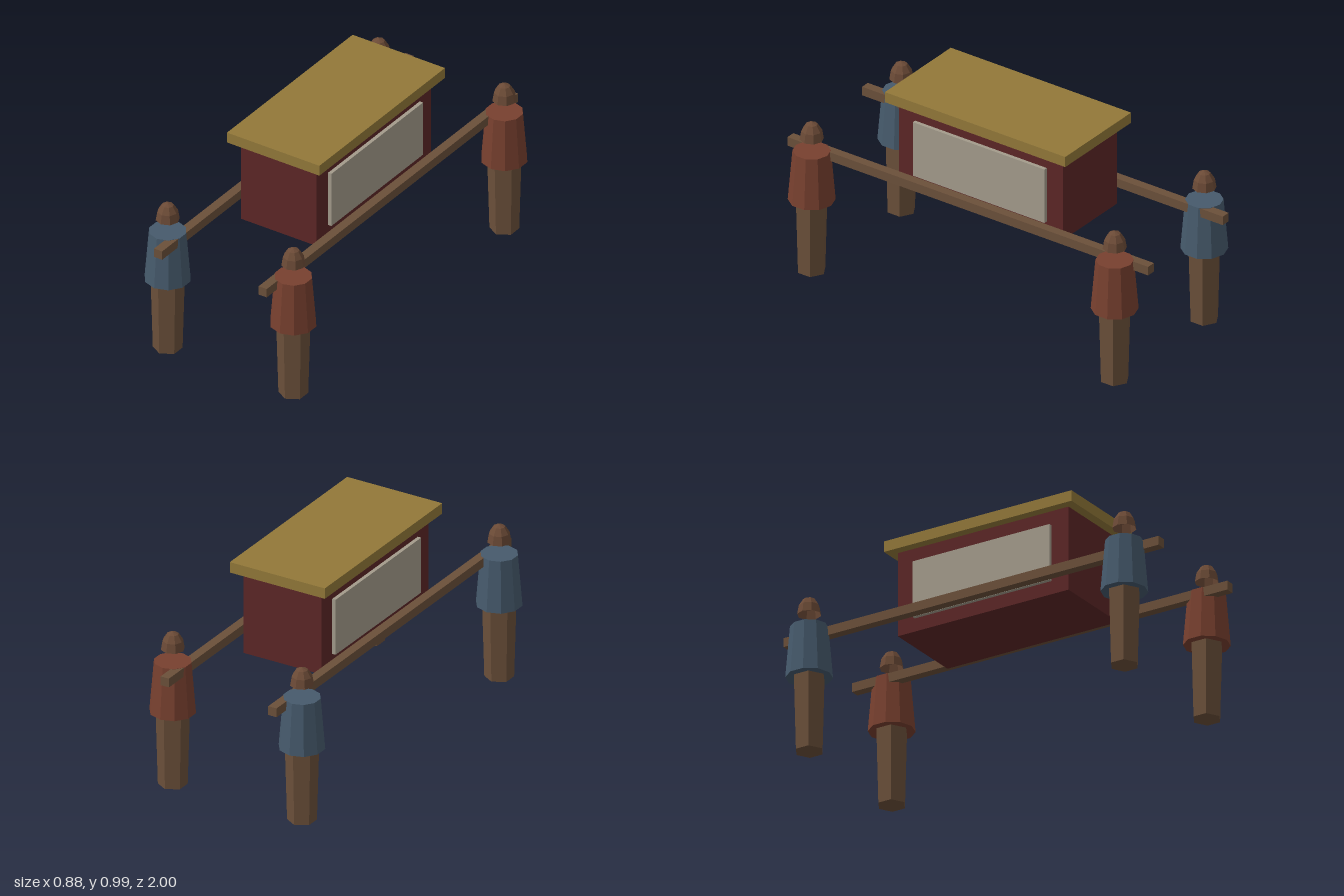
import * as THREE from 'three';

const paint = (color, extra = {}) => {
  const m = new THREE.MeshStandardMaterial({ color, flatShading: true });
  return Object.assign(m, extra);
};

function add(parent, name, geometry, material, x, y, z) {
  const mesh = new THREE.Mesh(geometry, material);
  mesh.name = name;
  mesh.position.set(x, y, z);
  parent.add(mesh);
  return mesh;
}

export function createModel() {
  const model = new THREE.Group();
  model.name = 'litterWithBearers';

  const wood = paint(0x6b503a);
  const skin = paint(0x6b4a36, { side: THREE.DoubleSide });
  const lacquer = paint(0x5c2626);
  const gold = paint(0x927839);
  const screen = paint(0xa39b8b);
  const redCoat = paint(0x78402f);
  const blueCoat = paint(0x465a6c);

  // Cabin with an overhanging flat roof
  add(model, 'cabin', new THREE.BoxGeometry(0.41, 0.41, 0.91), lacquer, 0, 0.73, 0);
  add(model, 'roof', new THREE.BoxGeometry(0.5, 0.052, 1), gold, 0, 0.961, 0);

  // Bearer parts, shared by all four figures
  const legs = new THREE.CylinderGeometry(0.077, 0.067, 0.365, 6);
  const coat = new THREE.CylinderGeometry(0.0865, 0.1075, 0.25, 10);
  const head = new THREE.SphereGeometry(0.055, 8, 3, 0, Math.PI * 2, 0, Math.PI / 2);
  head.scale(1, 1.58, 1);

  for (const side of [-1, 1]) {
    // Side screen and carrying pole
    add(model, 'sideScreen', new THREE.BoxGeometry(0.03, 0.275, 0.73), screen, side * 0.208, 0.7275, 0);
    add(model, 'carryingPole', new THREE.BoxGeometry(0.044, 0.044, 2), wood, side * 0.283, 0.592, 0);

    // Bearers at the front and back ends of the pole
    for (const end of [-1, 1]) {
      const bearer = new THREE.Group();
      bearer.name = 'bearer';
      bearer.position.set(side * 0.34, 0, end * 0.84);
      add(bearer, 'legs', legs, wood, 0, 0.1825, 0);
      add(bearer, 'coat', coat, side > 0 ? redCoat : blueCoat, 0, 0.49, 0);
      add(bearer, 'head', head, skin, 0, 0.675, 0);
      model.add(bearer);
    }
  }
  return model;
}
